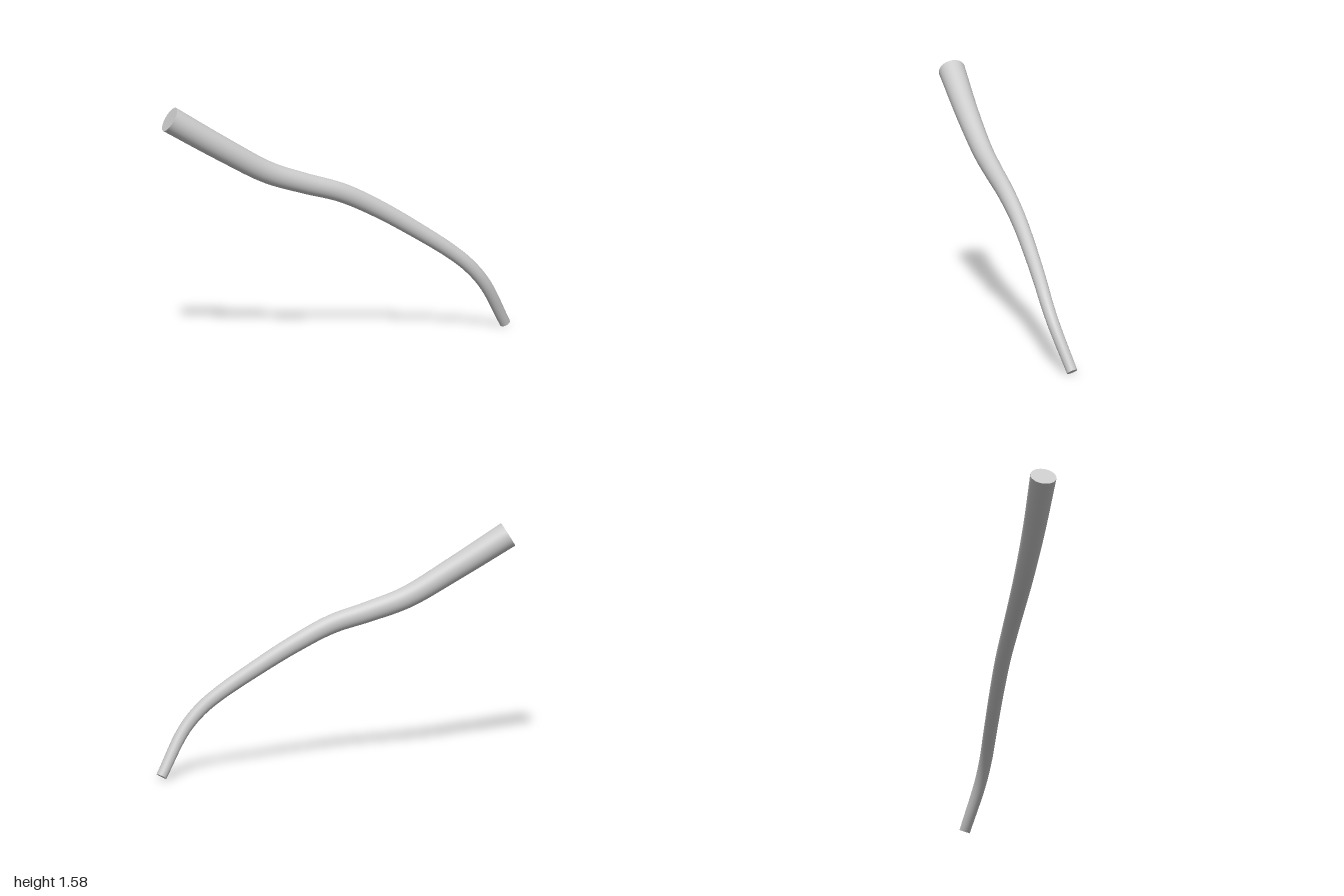
import * as THREE from 'three';

const SIDES = 32;
const STEPS = 72;

// Centre line from the thick upper end to the thin lower end
const path = new THREE.CatmullRomCurve3([
  [-0.615, 1.508, 0.94], [-0.4, 1.29, 0.65], [-0.225, 1.12, 0.4],
  [-0.08, 1.035, 0.2], [0.065, 0.96, 0], [0.2, 0.842, -0.2],
  [0.345, 0.695, -0.4], [0.495, 0.53, -0.6], [0.567, 0.428, -0.7],
  [0.618, 0.298, -0.8], [0.65, 0.02, -0.97],
].map((p) => new THREE.Vector3(...p)));

// One oval ring of points, perpendicular to the path
function ring(k) {
  const centre = path.getPointAt(k);
  const along = path.getTangentAt(k);
  const side = along.clone().cross(new THREE.Vector3(0, 1, 0)).normalize();
  const up = side.clone().cross(along);
  const tall = THREE.MathUtils.lerp(0.086, 0.035, k);
  const wide = tall * (1 - 0.14 * Math.sin(Math.PI * k));
  const points = [];
  for (let j = 0; j < SIDES; j++) {
    const a = (j / SIDES) * Math.PI * 2;
    points.push(centre.clone()
      .addScaledVector(side, Math.cos(a) * wide)
      .addScaledVector(up, Math.sin(a) * tall));
  }
  return { centre, points };
}

function makeMesh(name, points, index, material) {
  const geometry = new THREE.BufferGeometry().setFromPoints(points);
  geometry.setIndex(index);
  geometry.computeVertexNormals();
  const mesh = new THREE.Mesh(geometry, material);
  mesh.name = name;
  return mesh;
}

// Flat end disc; flip turns it to face along the path
function makeCap(name, k, flip, material) {
  const { centre, points } = ring(k);
  const index = [];
  for (let j = 0; j < SIDES; j++) {
    const a = j + 1;
    const b = ((j + 1) % SIDES) + 1;
    index.push(0, ...(flip ? [b, a] : [a, b]));
  }
  return makeMesh(name, [centre, ...points], index, material);
}

export function createModel() {
  const group = new THREE.Group();
  group.name = 'taperedBranch';
  const material = new THREE.MeshStandardMaterial({ color: 0xcccccc });

  // Smooth tapering skin
  const points = [];
  const index = [];
  for (let i = 0; i <= STEPS; i++) {
    points.push(...ring(i / STEPS).points);
    if (i === STEPS) break;
    for (let j = 0; j < SIDES; j++) {
      const a = i * SIDES + j;
      const b = i * SIDES + ((j + 1) % SIDES);
      index.push(a, a + SIDES, b, b, a + SIDES, b + SIDES);
    }
  }
  group.add(makeMesh('branch', points, index, material));

  // Cut ends
  group.add(makeCap('thickEnd', 0, false, material));
  group.add(makeCap('thinEnd', 1, true, material));
  return group;
}
